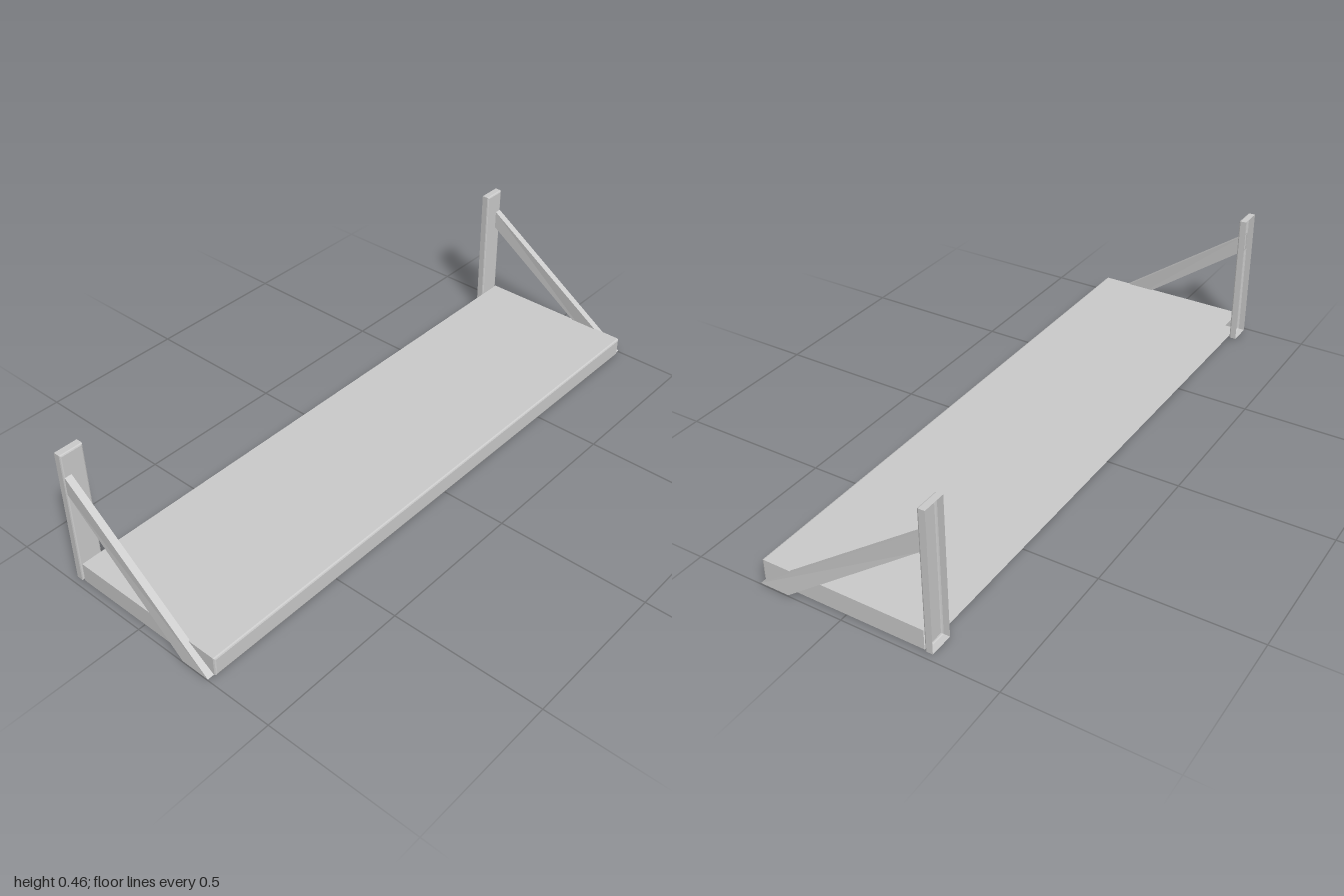
import * as THREE from 'three';

const material = new THREE.MeshStandardMaterial({ color: 0xcccccc, flatShading: true, side: THREE.DoubleSide });

// Thin shell through four-point rings: open at the first ring, capped at the last
function shell(name, rings) {
  const points = [];
  const quad = (a, b, c, d) => points.push(...a, ...b, ...c, ...a, ...c, ...d);
  for (let k = 0; k < rings.length - 1; k++) {
    for (let i = 0; i < 4; i++) {
      const j = (i + 1) % 4;
      quad(rings[k][i], rings[k][j], rings[k + 1][j], rings[k + 1][i]);
    }
  }
  quad(...rings[rings.length - 1]);
  const geometry = new THREE.BufferGeometry();
  geometry.setAttribute('position', new THREE.Float32BufferAttribute(points, 3));
  geometry.computeVertexNormals();
  const mesh = new THREE.Mesh(geometry, material);
  mesh.name = name;
  return mesh;
}

// Box with an open back and softened front edges
function openBox(name, [x0, x1], [y0, y1], [z0, z1], bevel) {
  const ring = (inset, z) => [
    [x0 + inset, y0 + inset, z], [x1 - inset, y0 + inset, z],
    [x1 - inset, y1 - inset, z], [x0 + inset, y1 - inset, z],
  ];
  return shell(name, [
    ring(0, z0),
    ring(0, z1 - bevel),
    ring(bevel * 0.3, z1 - bevel * 0.3),
    ring(bevel, z1),
  ]);
}

// Diagonal strap: open end inside the post, level cut at the foot
function strap() {
  const foot = (inset, y) => [
    [0.977 + inset, y, 0.18 + inset], [1 - inset, y, 0.18 + inset],
    [1 - inset, y, 0.277 - inset], [0.977 + inset, y, 0.277 - inset],
  ];
  const z = -0.266;
  const top = [[0.956, 0.333, z], [0.979, 0.333, z], [0.979, 0.394, z], [0.956, 0.394, z]];
  return shell('diagonalStrap', [top, foot(0, 0.006), foot(0.003, 0.002)]);
}

function bracket(name, side) {
  const group = new THREE.Group();
  group.name = name;
  group.add(openBox('wallPost', [0.905, 0.982], [0.006, 0.466], [-0.285, -0.26], 0.005));
  group.add(strap());
  group.scale.x = side;
  return group;
}

export function createModel() {
  const model = new THREE.Group();
  model.name = 'wallShelf';
  model.add(openBox('shelfBoard', [-0.978, 0.978], [0.006, 0.071], [-0.256, 0.285], 0.006));
  model.add(bracket('leftBracket', 1), bracket('rightBracket', -1));
  return model;
}
